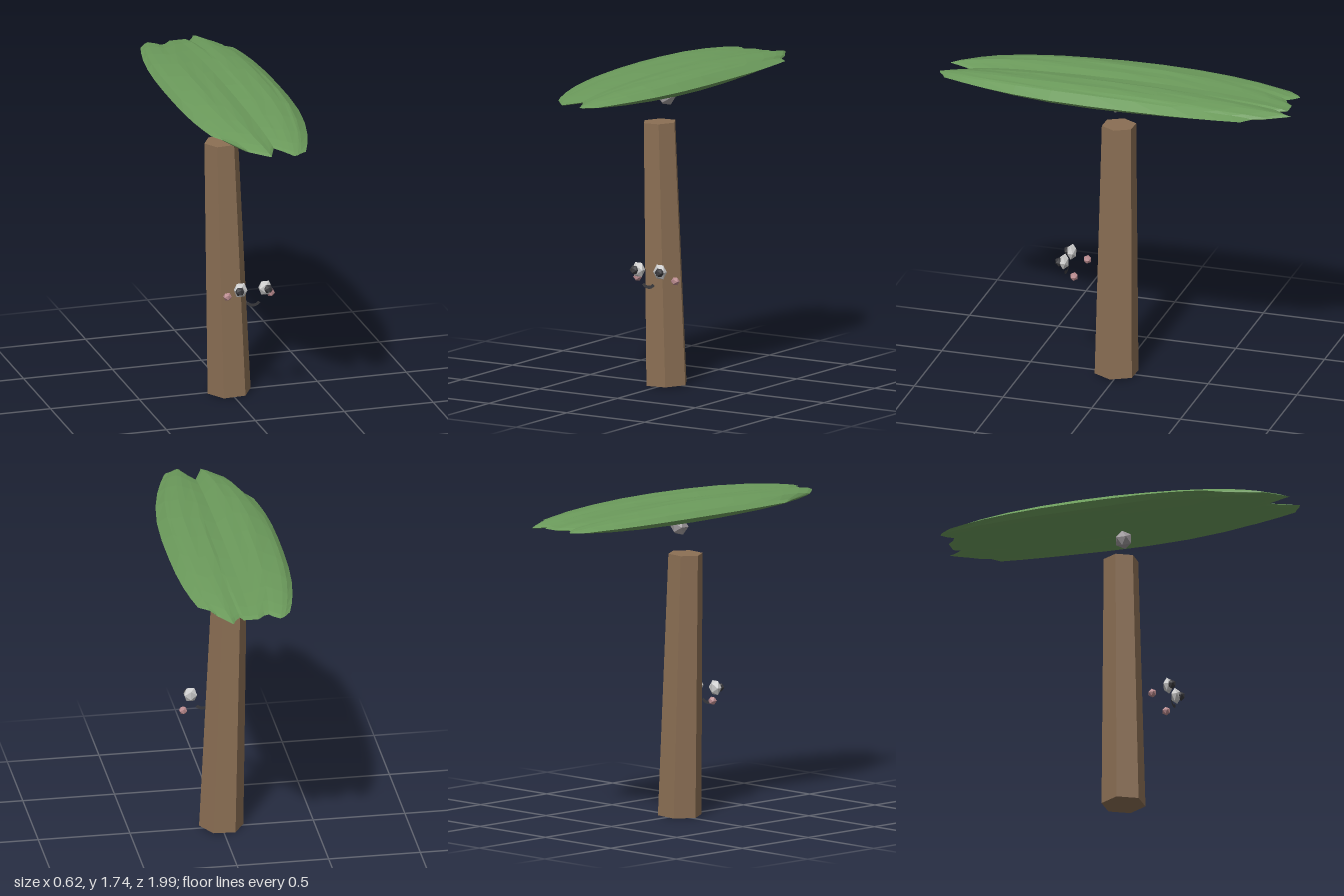
import * as THREE from 'three';

const mat = (color, side = THREE.FrontSide) =>
  new THREE.MeshStandardMaterial({ color, flatShading: true, side });

function add(parent, name, geometry, material, x, y, z) {
  const mesh = new THREE.Mesh(geometry, material);
  mesh.name = name;
  mesh.position.set(x, y, z);
  parent.add(mesh);
  return mesh;
}

// Strands of the canopy: [position across, back tip z, front tip z]
const STRANDS = [
  [-1, -0.9, 0.56], [-0.9, -0.95, 0.64], [-0.8, -0.97, 0.86], [-0.6, -0.94, 0.92],
  [-0.48, -0.91, 0.95], [-0.36, -0.92, 0.97], [-0.2, -0.96, 0.92], [0, -0.96, 0.84],
  [0.2, -0.96, 0.9], [0.26, -0.92, 0.92], [0.42, -0.96, 0.96], [0.55, -1, 0.99],
  [0.7, -0.92, 0.98], [0.76, -0.89, 0.97], [0.82, -0.81, 0.96], [1, -0.76, 0.94],
];

// Half width of the canopy at a given z
const halfWidth = (z) =>
  0.312 * (z > 0 ? 1 - 0.6 * Math.pow(z, 2.4) : 1 - 0.4 * Math.pow(-z, 3));

// Jagged lens: a top and a bottom sheet meeting at the strand tips and sides
function canopyGeometry() {
  const rows = 12, pos = [], idx = [];
  const n = STRANDS.length;
  for (const up of [1, -1]) {
    const start = pos.length / 3;
    STRANDS.forEach(([s, back, front], i) => {
      const a = Math.abs(s);
      const round = Math.sqrt(1 - Math.pow(a, 4));
      const lobe = up > 0 ? 0.044 + 0.014 * Math.sin(Math.PI * Math.min(1, a)) : 0.047;
      for (let j = 0; j <= rows; j++) {
        const t = -Math.cos((Math.PI * j) / rows);
        const z = (back + front) / 2 + (t * (front - back)) / 2;
        const thin = Math.pow(Math.max(0, 1 - t * t), 0.65);
        const ripple = 1 + 0.05 * Math.sin(i * 2.4 + j * 0.9);
        const mid = 1.675 + 0.008 * thin;
        pos.push(s * halfWidth(z), mid + up * lobe * round * thin * ripple, z);
      }
    });
    for (let i = 0; i < n - 1; i++) {
      for (let j = 0; j < rows; j++) {
        const a = start + i * (rows + 1) + j, b = a + rows + 1;
        if (up > 0) idx.push(a, a + 1, b, b, a + 1, b + 1);
        else idx.push(a, b, a + 1, b, b + 1, a + 1);
      }
    }
  }
  const g = new THREE.BufferGeometry();
  g.setAttribute('position', new THREE.Float32BufferAttribute(pos, 3));
  g.setIndex(idx);
  g.computeVertexNormals();
  return g;
}

export function createModel() {
  const model = new THREE.Group();
  model.name = 'palmTree';

  // Six-sided trunk, leaning slightly
  const trunkGeo = new THREE.CylinderGeometry(0.095, 0.121, 1.432, 6).rotateY(Math.PI / 6);
  const trunk = add(model, 'trunk', trunkGeo, mat(0x8b6f54), -0.023, 0.721, 0.016);
  trunk.rotation.z = 0.031;

  // Leaf canopy and the nut hanging under it
  add(model, 'canopy', canopyGeometry(), mat(0x6b9a5b, THREE.DoubleSide), 0, 0, 0);
  add(model, 'nut', new THREE.IcosahedronGeometry(0.05, 0), mat(0x9a9598), 0, 1.578, 0.016);

  // Face floating in front of the trunk
  const face = new THREE.Group();
  face.name = 'face';
  face.position.set(0.055, 0, 0);
  model.add(face);
  for (const side of [-1, 1]) {
    const label = side > 0 ? 'left' : 'right';
    const white = add(face, label + 'EyeWhite', new THREE.IcosahedronGeometry(0.045, 0),
      mat(0xcccccc), side * 0.069, 0.67, 0.272);
    white.scale.set(0.9, 1, 0.62);
    add(face, label + 'Pupil', new THREE.IcosahedronGeometry(0.026, 0),
      mat(0x3a3a3e), side * 0.08, 0.67, 0.295);
    add(face, label + 'Cheek', new THREE.IcosahedronGeometry(0.024, 0),
      mat(0xb98a8e), side * 0.121, 0.613, 0.2);
  }
  // Thin smiling mouth
  const smile = new THREE.RingGeometry(0.033, 0.05, 8, 1, Math.PI * 1.2, Math.PI * 0.6);
  add(face, 'mouth', smile, mat(0x3a3a3e, THREE.DoubleSide), 0, 0.622, 0.28);

  return model;
}
